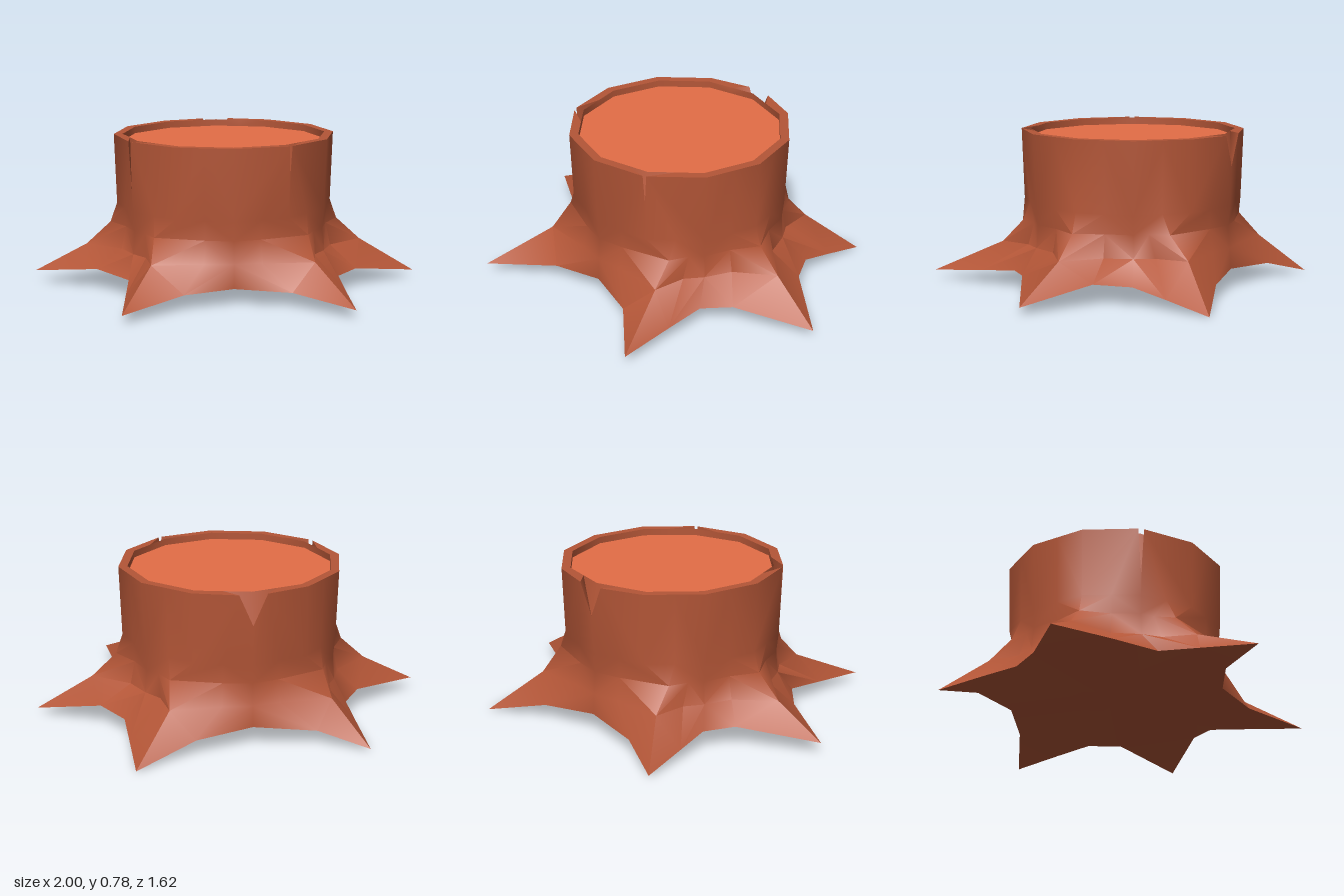
import * as THREE from 'three';
import { toCreasedNormals } from 'three/addons/utils/BufferGeometryUtils.js';

const N = 24; // points per ring: even ones are corners of the 12-sided trunk
const CX = -0.01, CZ = -0.06;

// Ground outline, from the left root (+x) round by the front: root tip, flank, hollow, flank ...
const OUTLINE = [
  [0.995, 0.035, -0.025], [0.65, 0.1, 0.19], [0.54, 0.092, 0.31], [0.54, 0.072, 0.52],
  [0.545, 0.045, 0.805], [0.27, 0.078, 0.58], [-0.01, 0.085, 0.505], [-0.26, 0.078, 0.58],
  [-0.565, 0.045, 0.805], [-0.54, 0.072, 0.52], [-0.52, 0.092, 0.31], [-0.68, 0.11, 0.13],
  [-1, 0.065, -0.06], [-0.64, 0.11, -0.275], [-0.54, 0.095, -0.4], [-0.55, 0.06, -0.57],
  [-0.56, 0.01, -0.8], [-0.32, 0.08, -0.69], [-0.01, 0.1, -0.63], [0.28, 0.08, -0.69],
  [0.59, 0, -0.81], [0.59, 0.055, -0.58], [0.59, 0.095, -0.4], [0.69, 0.11, -0.24],
];

// Cracks in the rim: corner index -> [half width in degrees, y of the lowest point]
const CRACKS = { 4: [0.9, 0.63], 10: [1.5, 0.53], 18: [7, 0.62] };

// Point on the 12-sided trunk of corner radius r
function trunkPoint(deg, r, y) {
  const a = THREE.MathUtils.degToRad(deg);
  const off = THREE.MathUtils.degToRad((((deg % 30) + 30) % 30) - 15);
  const d = (r * Math.cos(Math.PI / 12)) / Math.cos(off);
  return [CX + d * Math.cos(a), y, CZ + d * Math.sin(a)];
}

const ring = (fn) => Array.from({ length: N }, (_, i) => fn(i));

// Flare ring: radii for side roots, diagonal roots, flanks and hollows;
// the diagonal crests and the flanks beside them lean towards the sides
function flareRing(y, { side, diagonal, flank, hollow, crestLean, flankLean }) {
  return ring((i) => {
    if (i % 12 === 0) return trunkPoint(i * 15, side, y);
    const quarter = i % 12; // 4 and 8 are crests, 3 and 9 their outer flanks
    const lean = quarter === 4 || quarter === 8 ? crestLean
      : quarter === 3 || quarter === 9 ? flankLean : 0;
    const r = i % 4 === 0 ? diagonal : i % 2 ? flank : hollow;
    return trunkPoint(i * 15 + (quarter < 6 ? -lean : lean), r, y);
  });
}

// Rim ring whose flanks slide up to the lips of a crack; corner() gives the cracked corner
function crackedRing(r, y, corner) {
  const lip = (i, side) => {
    const w = CRACKS[i][0];
    return trunkPoint(i * 15 + side * w, r * (1 + w * 0.004), y);
  };
  return ring((i) => {
    const next = (i + 1) % N, prev = (i + N - 1) % N;
    if (CRACKS[i]) return corner(i);
    if (CRACKS[next]) return lip(next, -1);
    if (CRACKS[prev]) return lip(prev, 1);
    return trunkPoint(i * 15, r, y);
  });
}

// Turn positions and triangles into a mesh surface that keeps hard edges
function surface(pos, index) {
  const g = new THREE.BufferGeometry();
  g.setAttribute('position', new THREE.Float32BufferAttribute(pos, 3));
  g.setIndex(index);
  return toCreasedNormals(g, 0.8);
}

// Skin a stack of rings
function skin(rings) {
  const index = [];
  for (let k = 0; k < rings.length - 1; k++) {
    for (let i = 0; i < N; i++) {
      const j = (i + 1) % N;
      const a = k * N + i, b = k * N + j, d = a + N, c = b + N;
      // the diagonals mirror about each corner, and turn over on the roots
      const fromCorner = (i % 2 === 0) !== (rings[k] === OUTLINE);
      if (fromCorner) index.push(a, d, c, a, c, b);
      else index.push(a, d, b, b, d, c);
    }
  }
  return surface(rings.flat(2), index);
}

// Underside: one triangle beneath each root tip, the rest fanned from the middle
function underside() {
  const index = [];
  for (let i = 0; i < N; i++) {
    const prev = (i + N - 1) % N, next = (i + 1) % N;
    if (i % 4 === 0) index.push(prev, i, next, N, prev, next);
    else if (next % 4 !== 0) index.push(N, i, next);
  }
  return surface([...OUTLINE.flat(), CX, 0.1, CZ], index);
}

export function createModel() {
  const group = new THREE.Group();
  group.name = 'treeStump';
  const bark = new THREE.MeshStandardMaterial({ color: 0xb45637, side: THREE.DoubleSide });
  const wood = new THREE.MeshStandardMaterial({ color: 0xe46d46, side: THREE.DoubleSide });
  const add = (name, geometry, material) => {
    const mesh = new THREE.Mesh(geometry, material);
    mesh.name = name;
    group.add(mesh);
  };

  // The crack bottoms lie on the trunk edges, between its waist and the rim
  const waistY = 0.42, waistR = 0.56, rimY = 0.78, rimR = 0.572;
  const rim = crackedRing(rimR, rimY, (i) => {
    const y = CRACKS[i][1];
    return trunkPoint(i * 15, THREE.MathUtils.mapLinear(y, waistY, rimY, waistR, rimR), y);
  });
  const inner = ring((i) => trunkPoint(i * 15, 0.526, rimY));
  const floor = ring((i) => trunkPoint(i * 15, 0.526, 0.745));

  // Bark: roots, flare and trunk wall
  add('barkAndRoots', skin([
    OUTLINE,
    flareRing(0.205, { side: 0.72, diagonal: 0.69, flank: 0.58, hollow: 0.56, crestLean: 7, flankLean: 4 }),
    flareRing(0.32, { side: 0.595, diagonal: 0.595, flank: 0.555, hollow: 0.55, crestLean: 12, flankLean: 7 }),
    ring((i) => trunkPoint(i * 15, waistR, waistY)),
    rim,
  ]), bark);
  add('underside', underside(), bark);

  // Rim and its inner lip
  add('rim', skin([rim, inner, floor]), bark);

  // Sunken cut face
  const cutFace = new THREE.CircleGeometry(0.526, 12).rotateX(-Math.PI / 2);
  add('cutFace', cutFace.translate(CX, 0.745, CZ), wood);

  return group;
}
